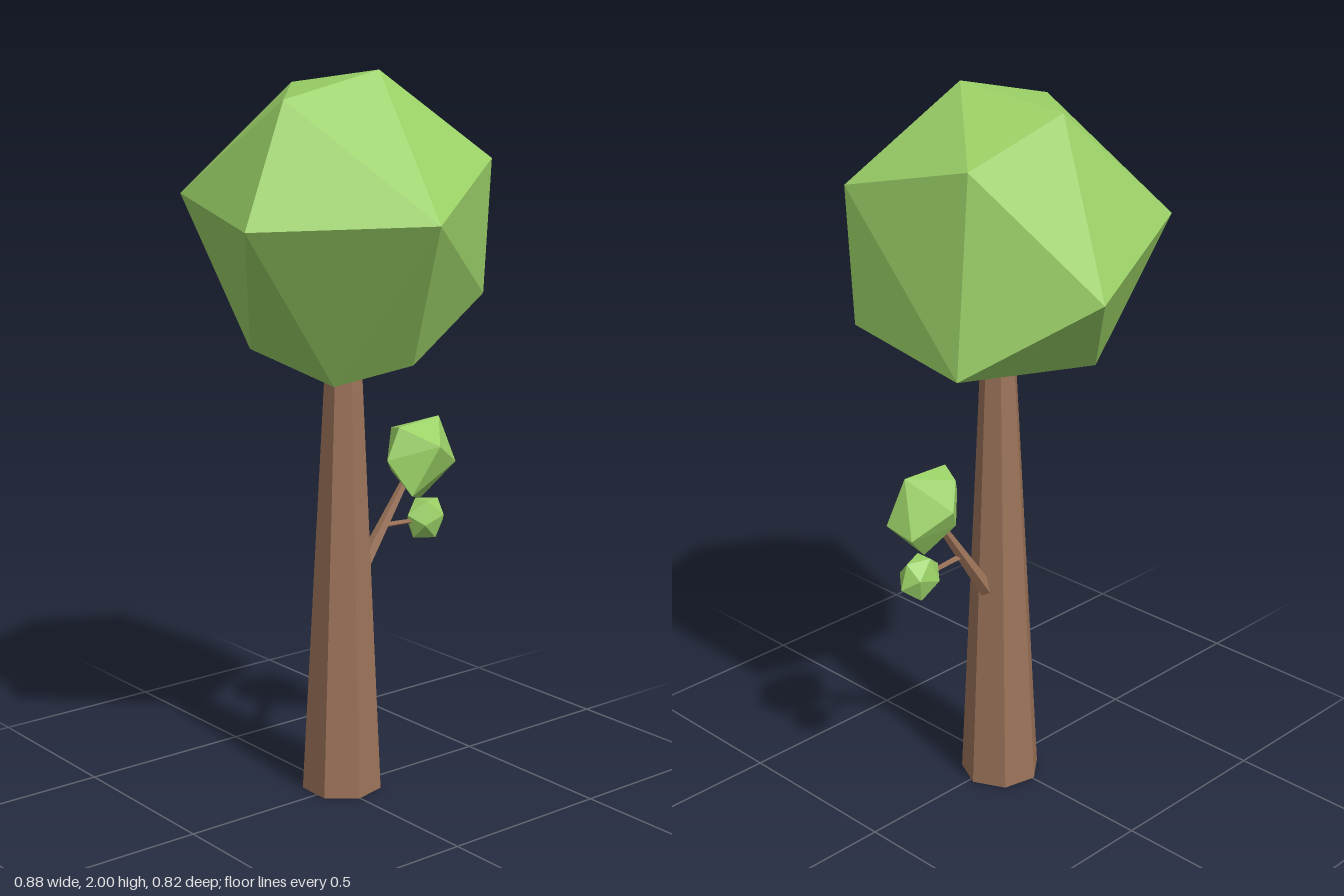
import * as THREE from 'three';
import { ConvexGeometry } from 'three/addons/geometries/ConvexGeometry.js';

const leaf = new THREE.MeshStandardMaterial({ color: 0x9ad066, flatShading: true });
const bark = new THREE.MeshStandardMaterial({ color: 0x9c7359, flatShading: true });

// Faceted clump of leaves spanned by a few corner points
function foliage(name, corners) {
  const mesh = new THREE.Mesh(new ConvexGeometry(corners.map(c => new THREE.Vector3(...c))), leaf);
  mesh.name = name;
  return mesh;
}

// Tapered limb running from one point to another
function limb(name, from, to, r0, r1, sides) {
  const a = new THREE.Vector3(...from), b = new THREE.Vector3(...to);
  const dir = b.clone().sub(a);
  const geo = new THREE.CylinderGeometry(r1, r0, dir.length(), sides, 1, false, Math.PI);
  const mesh = new THREE.Mesh(geo, bark);
  mesh.position.copy(a).add(b).multiplyScalar(0.5);
  mesh.quaternion.setFromUnitVectors(new THREE.Vector3(0, 1, 0), dir.normalize());
  mesh.name = name;
  return mesh;
}

export function createModel() {
  const tree = new THREE.Group();
  tree.name = 'tree';

  // Seven-sided trunk reaching into the crown
  tree.add(limb('trunk', [-0.015, 0, -0.022], [-0.008, 1.3, -0.022], 0.113, 0.047, 7));

  // Crown, cut flat at the back
  tree.add(foliage('crown', [
    [-0.23, 1.96, -0.02], [0.085, 2, -0.065], [0.05, 1.93, 0.22],
    [-0.34, 1.67, 0.275], [0.14, 1.615, 0.41], [0.435, 1.63, 0.025],
    [-0.44, 1.53, -0.09], [-0.18, 1.855, -0.3], [0.2, 1.765, -0.362],
    [0.175, 1.4, -0.362], [-0.2, 1.34, -0.362],
    [-0.2, 1.25, 0.15], [0.085, 1.18, 0.085], [0.225, 1.24, -0.07],
  ]));

  // Side branch and its twig
  tree.add(limb('branch', [-0.02, 0.585, -0.07], [-0.015, 0.86, -0.255], 0.024, 0.011, 5));
  tree.add(limb('twig', [-0.017, 0.737, -0.175], [-0.02, 0.73, -0.31], 0.008, 0.006, 5));

  // Upper clump on the branch
  tree.add(foliage('branchLeaves', [
    [-0.013, 1.027, -0.373], [0, 1.015, -0.215], [-0.07, 1, -0.245],
    [0.066, 0.958, -0.31], [-0.097, 0.926, -0.28], [0, 0.926, -0.172],
    [0.02, 0.894, -0.41], [-0.057, 0.867, -0.393], [-0.075, 0.873, -0.25],
    [-0.025, 0.794, -0.32], [0.035, 0.82, -0.235],
  ]));

  // Small clump on the twig
  const bud = new THREE.Mesh(new THREE.IcosahedronGeometry(0.069, 0), leaf);
  bud.name = 'twigLeaves';
  bud.scale.set(0.68, 1, 1);
  bud.rotation.x = 0.3;
  bud.position.set(-0.02, 0.732, -0.333);
  tree.add(bud);

  return tree;
}
